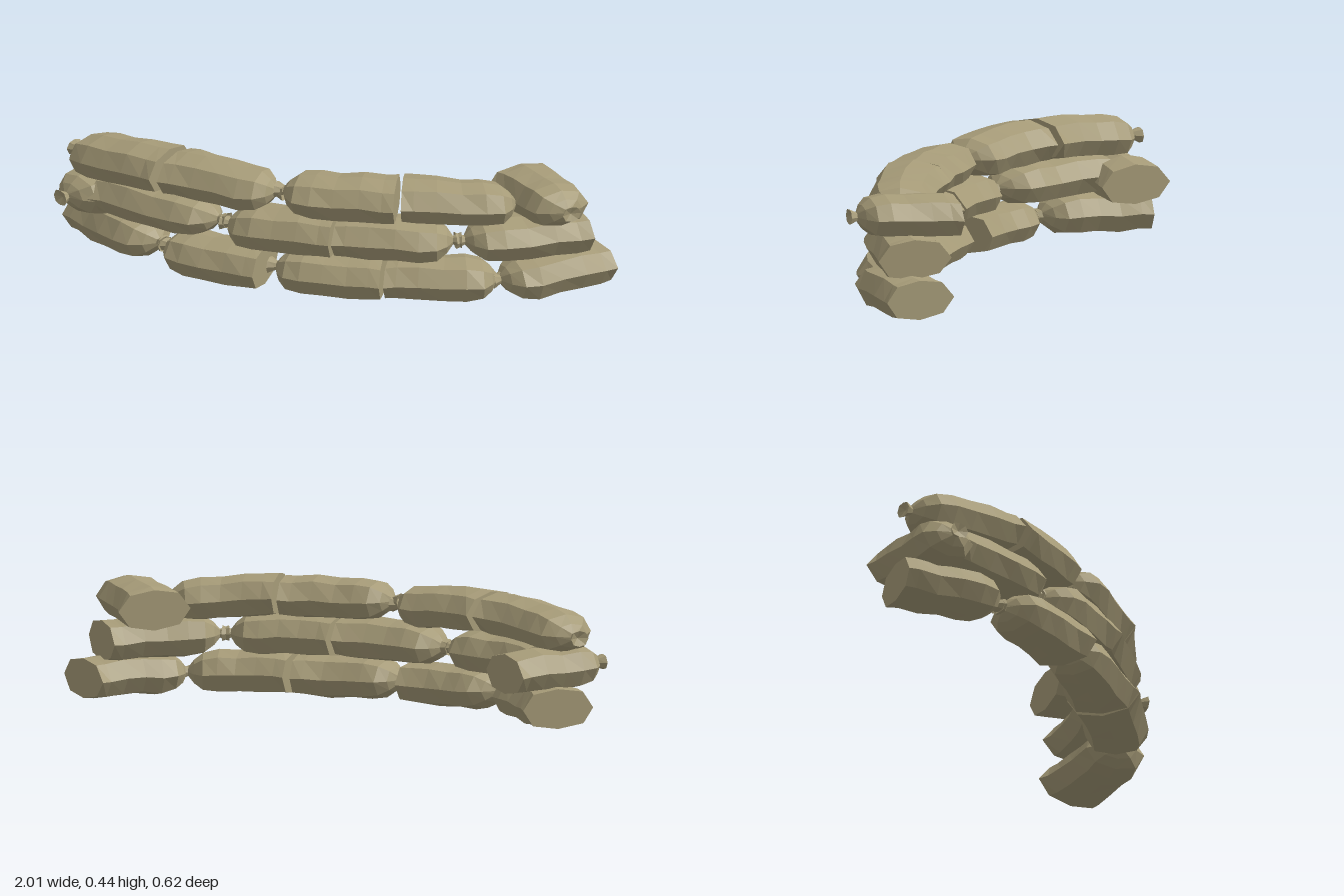
import * as THREE from 'three';

const burlap = new THREE.MeshStandardMaterial({ color: 0xa69b78, flatShading: true });
burlap.name = 'burlap';

// Cross-section of a filled sack: a squashed octagon (side, up)
const SECTION = [[1, 0], [0.68, 0.76], [0, 1], [-0.68, 0.8], [-1, 0], [-0.7, -0.76], [0, -1], [0.7, -0.8]];

// Stations from sewn bottom to tied mouth: t along sack, width scale, height scale
const STATIONS = [
  [0, 1.0, 0.92], [0.1, 0.94, 0.96], [0.28, 0.88, 1.0], [0.48, 0.86, 0.95], [0.66, 0.87, 0.98],
  [0.8, 0.8, 0.86], [0.88, 0.5, 0.55], [0.93, 0.13, 0.2], [1.0, 0.27, 0.36],
];

function seeded(seed) {
  let s = seed * 7919 + 17;
  return () => (s = (s * 16807) % 2147483647) / 2147483647 - 0.5;
}

// One sack lofted from its flat end to its tied end; points are [x, y, z]
function makeBag(flat, tie, bend, seed) {
  const rand = seeded(seed);
  const a = new THREE.Vector3(...flat), b = new THREE.Vector3(...tie);
  const up = new THREE.Vector3(0, 1, 0);
  const axis = b.clone().sub(a).setY(0);
  const bow = new THREE.Vector3().crossVectors(up, axis).normalize();
  if (bow.z < 0) bow.negate(); // sacks bow toward the outer face of the wall
  const n = SECTION.length, pos = [], idx = [];

  for (const [t, w, h] of STATIONS) {
    const c = a.clone().lerp(b, t).addScaledVector(bow, bend * Math.sin(Math.PI * t));
    const dir = axis.clone().addScaledVector(bow, bend * Math.PI * Math.cos(Math.PI * t)).normalize();
    const side = new THREE.Vector3().crossVectors(up, dir);
    const lift = t > 0.05 && t < 0.8 ? rand() * 0.008 : 0;
    for (const [u, v] of SECTION) {
      const wob = 1 + rand() * 0.05;
      const p = c.clone().addScaledVector(side, u * w * wob * 0.132);
      pos.push(p.x, Math.max(0, p.y + v * h * wob * 0.077 + lift), p.z);
    }
  }
  const last = (STATIONS.length - 1) * n;
  for (let r = 0; r < last; r += n) {
    for (let j = 0; j < n; j++) {
      const k = (j + 1) % n;
      idx.push(r + j, r + k, r + n + k, r + j, r + n + k, r + n + j);
    }
  }
  // Flat bottom panel and gathered mouth
  const neck = a.clone().lerp(b, 0.97);
  pos.push(...flat, neck.x, neck.y, neck.z);
  for (let j = 0; j < n; j++) {
    const k = (j + 1) % n;
    idx.push(last + n, k, j, last + n + 1, last + j, last + k);
  }
  const geo = new THREE.BufferGeometry();
  geo.setAttribute('position', new THREE.Float32BufferAttribute(pos, 3));
  geo.setIndex(idx);
  const flatGeo = geo.toNonIndexed();
  flatGeo.computeVertexNormals();
  return new THREE.Mesh(flatGeo, burlap);
}

// Each course: [flat end, tied end, bow]
const COURSES = {
  bottomCourse: [
    [[-0.905, 0.08, -0.18], [-0.575, 0.085, 0.09], 0.02],
    [[-0.19, 0.085, 0.18], [-0.585, 0.085, 0.08], 0.02],
    [[0.235, 0.085, 0.165], [-0.175, 0.085, 0.175], 0.015],
    [[0.255, 0.088, 0.16], [0.645, 0.08, 0.06], 0.02],
    [[0.9, 0.079, -0.2], [0.61, 0.08, 0.1], 0.02],
  ],
  middleCourse: [
    [[-0.725, 0.2, -0.235], [-0.96, 0.215, 0.08], 0],
    [[-0.8, 0.22, -0.04], [-0.335, 0.22, 0.14], 0.02],
    [[0.065, 0.23, 0.17], [-0.355, 0.215, 0.14], 0.015],
    [[0.08, 0.23, 0.165], [0.5, 0.22, 0.1], 0.02],
    [[0.85, 0.21, -0.155], [0.48, 0.22, 0.11], 0.02],
  ],
  topCourse: [
    [[-0.565, 0.365, 0.07], [-0.965, 0.325, -0.13], 0.02],
    [[-0.535, 0.365, 0.08], [-0.125, 0.355, 0.16], 0.015],
    [[0.275, 0.365, 0.135], [-0.155, 0.365, 0.16], 0.015],
    [[0.295, 0.37, 0.125], [0.69, 0.335, -0.02], 0.02],
    [[0.63, 0.335, -0.195], [0.895, 0.35, 0.08], 0],
  ],
};

export function createModel() {
  const wall = new THREE.Group();
  wall.name = 'sandbagWall';
  let seed = 1;
  for (const [name, bags] of Object.entries(COURSES)) {
    const course = new THREE.Group();
    course.name = name;
    bags.forEach(([flat, tie, bend], i) => {
      const bag = makeBag(flat, tie, bend, seed++);
      bag.name = `sandbag${i + 1}`;
      course.add(bag);
    });
    wall.add(course);
  }
  return wall;
}
